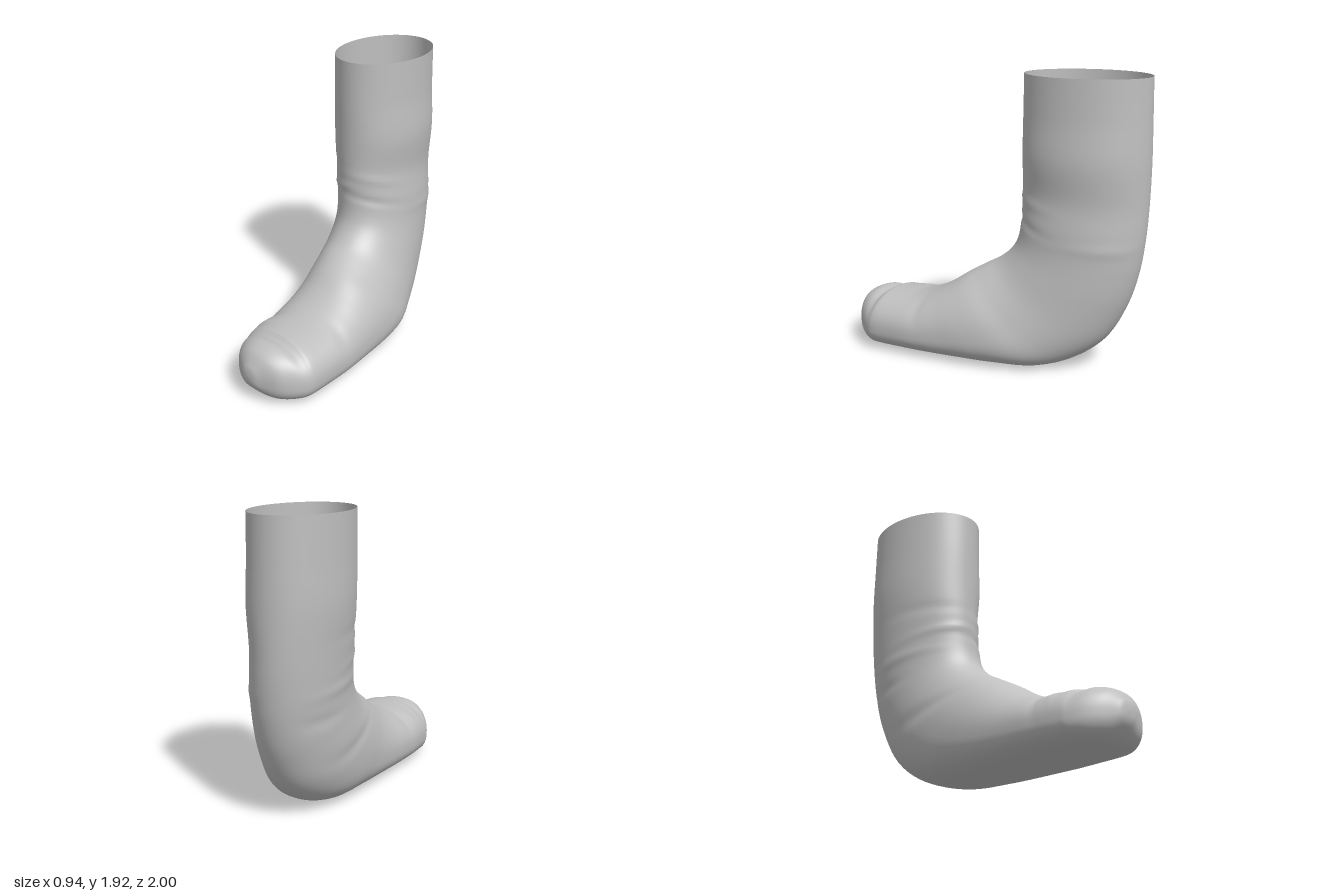
import * as THREE from 'three';

// Sections from cuff to toe tip: front z, y | back/sole z, y | right x, left x
const SECTIONS = [
  [-0.17, 1.925, -0.99, 1.925, -0.47, 0.135],
  [-0.165, 1.65, -0.995, 1.65, -0.47, 0.135],
  [-0.165, 1.4, -1.0, 1.38, -0.47, 0.145],
  [-0.165, 1.18, -0.995, 1.1, -0.45, 0.12],
  [-0.165, 1.0, -0.985, 0.88, -0.435, 0.135],
  [-0.15, 0.86, -0.955, 0.66, -0.42, 0.145],
  [-0.11, 0.77, -0.89, 0.44, -0.41, 0.17],
  [-0.03, 0.69, -0.77, 0.22, -0.395, 0.21],
  [0.07, 0.63, -0.6, 0.08, -0.37, 0.27],
  [0.17, 0.57, -0.4, 0.012, -0.34, 0.34],
  [0.27, 0.5, -0.15, 0.005, -0.3, 0.385],
  [0.38, 0.44, 0.1, 0.005, -0.265, 0.415],
  [0.5, 0.4, 0.35, 0.005, -0.235, 0.445],
  [0.62, 0.39, 0.57, 0.005, -0.205, 0.46],
  [0.72, 0.385, 0.71, 0.005, -0.175, 0.465],
  [0.77, 0.365, 0.78, 0.008, -0.155, 0.45],
  [0.85, 0.37, 0.86, 0.02, -0.105, 0.4],
  [0.93, 0.335, 0.92, 0.05, -0.035, 0.335],
  [0.98, 0.27, 0.97, 0.1, 0.05, 0.235],
  [0.995, 0.235, 0.992, 0.14, 0.09, 0.19],
  [1.0, 0.19, 1.0, 0.19, 0.14, 0.14],
];

// Cloth folds: section position, angle (0 = front, + = left), thickness, spread, slant, height
const FOLDS = [
  [2.9, -0.9, 0.16, 0.6, 0.1, -0.02],
  [3.3, 0.7, 0.14, 0.6, 0.15, 0.02],
  [3.75, -0.6, 0.14, 0.7, -0.15, 0.025],
  [4.15, 0.6, 0.14, 0.6, 0.2, -0.025],
  [4.5, -1.4, 0.16, 0.6, 0.2, 0.025],
  [4.3, 2.2, 0.16, 0.6, -0.2, 0.02],
  [5.3, -1.9, 0.2, 0.4, 0.5, -0.025],
  [7.4, -1.5, 0.3, 0.5, 1.0, -0.03],
  [11.6, 0.9, 0.3, 0.5, 0.5, -0.025],
  [12.3, -0.9, 0.25, 0.5, -0.6, -0.03],
  [13.1, -0.8, 0.25, 0.4, -0.6, 0.02],
  [14.1, 0, 0.25, 0.9, 0.2, 0.015],
  [15.1, 0, 0.3, 0.9, 0.1, -0.02],
];

// Smooth blend between neighbouring sections
function sectionAt(u) {
  const last = SECTIONS.length - 1;
  const i = Math.min(Math.floor(u), last - 1);
  const f = u - i;
  const at = (k) => SECTIONS[THREE.MathUtils.clamp(k, 0, last)];
  return at(i).map((p1, k) => {
    const p0 = at(i - 1)[k], p2 = at(i + 1)[k], p3 = at(i + 2)[k];
    return p1 + 0.5 * f * (p2 - p0 + f * (2 * p0 - 5 * p1 + 4 * p2 - p3 + f * (3 * (p1 - p2) + p3 - p0)));
  });
}

function foldAt(u, t) {
  let sum = 0;
  for (const [u0, t0, thick, spread, slant, height] of FOLDS) {
    const a = Math.atan2(Math.sin(t - t0), Math.cos(t - t0));
    sum += height * Math.exp(-(((u - u0 - slant * a) / thick) ** 2) - (a / spread) ** 2);
  }
  return sum;
}

const power = (v, n) => Math.sign(v) * Math.abs(v) ** (2 / n);

// Open tube swept from the cuff, round the heel, to a closed toe
function createSockGeometry() {
  const steps = 8, around = 80;
  const last = SECTIONS.length - 1;
  const rows = last * steps;
  const positions = [], index = [];
  for (let i = 0; i < rows; i++) {
    const u = i / steps;
    const [fz, fy, bz, by, right, left] = sectionAt(u);
    const foot = THREE.MathUtils.smoothstep(u, 6, 11);
    const low = 0.5 - 0.08 * foot; // widest point sits lower on the foot
    const midZ = bz + (fz - bz) * low, midY = by + (fy - by) * low;
    for (let j = 0; j < around; j++) {
      const t = (j / around) * Math.PI * 2;
      const n = Math.cos(t) > 0 ? 2 + 0.2 * foot : 2 + 0.8 * foot; // flatter sole
      const scale = 1 + foldAt(u, t);
      const c = power(Math.cos(t), n) * scale;
      const s = power(Math.sin(t), n) * scale;
      const reach = c > 0 ? 1 - low : low;
      const dz = c * reach * (fz - bz);
      const y = midY + c * reach * (fy - by);
      const x = (left + right) / 2 + (s * (left - right)) / 2 + dz * 0.1;
      positions.push(x, Math.max(0, y), midZ + dz);
    }
  }
  const tip = SECTIONS[last];
  positions.push(tip[4], tip[1], tip[0]);
  for (let i = 0; i < rows; i++) {
    for (let j = 0; j < around; j++) {
      const k = (j + 1) % around;
      const a = i * around + j, d = i * around + k;
      if (i === rows - 1) index.push(a, rows * around, d);
      else index.push(a, a + around, d, d, a + around, d + around);
    }
  }
  const geometry = new THREE.BufferGeometry();
  geometry.setAttribute('position', new THREE.Float32BufferAttribute(positions, 3));
  geometry.setIndex(index);
  geometry.computeVertexNormals();
  return geometry;
}

export function createModel() {
  const group = new THREE.Group();
  group.name = 'sock';
  const fabric = new THREE.MeshStandardMaterial({ color: 0xbfbfbf, side: THREE.DoubleSide });
  fabric.name = 'light grey fabric';
  const body = new THREE.Mesh(createSockGeometry(), fabric);
  body.name = 'sockBody';
  group.add(body);
  return group;
}
